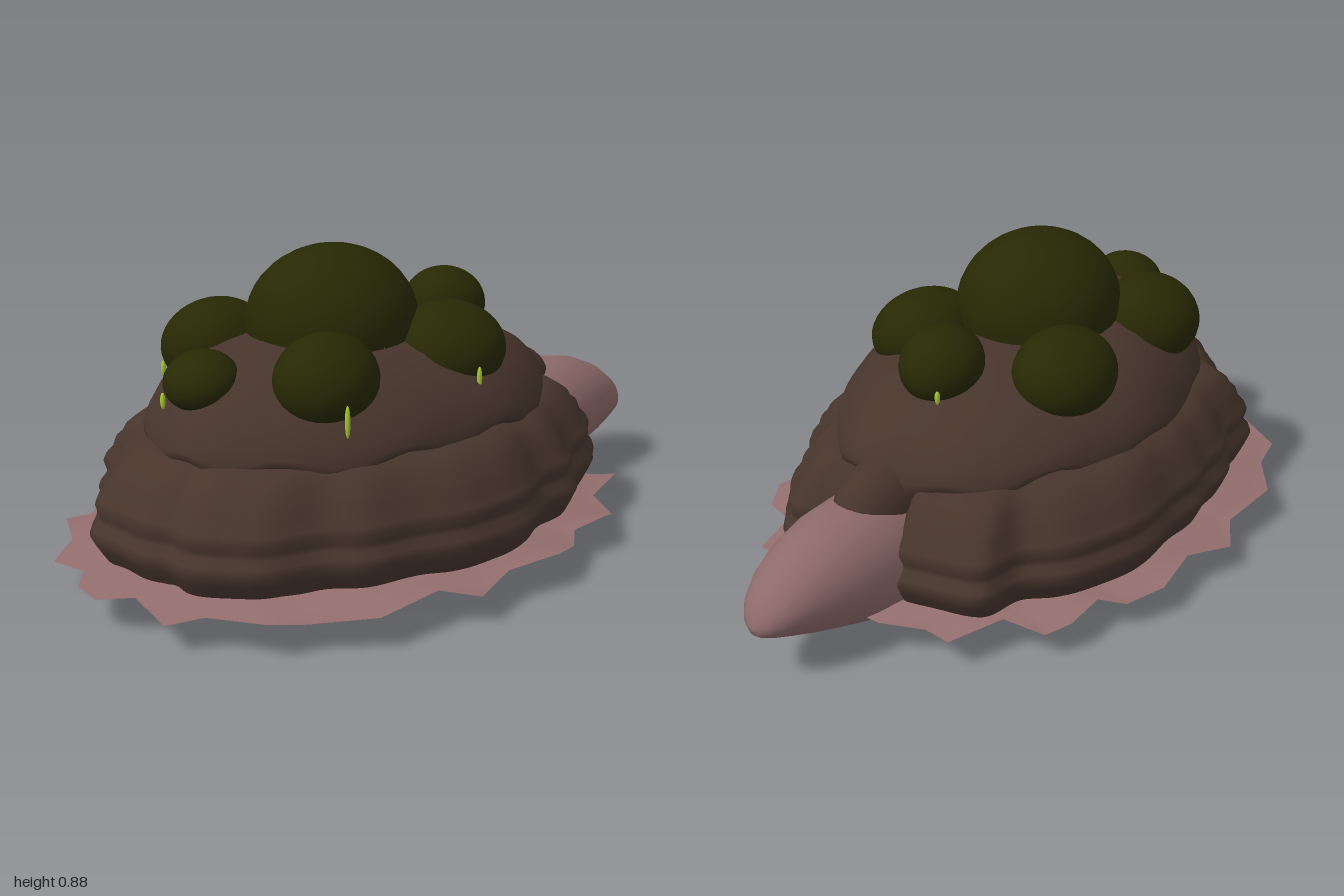
import * as THREE from 'three';

const mat = (name, color, side = THREE.FrontSide) => {
  const m = new THREE.MeshStandardMaterial({ color, side });
  m.name = name;
  return m;
};

const V = (x, y, z) => new THREE.Vector3(x, y, z);

// Joins closed rings of points into one smooth skin; optionally caps the ends
function loft(rings, capStart, capEnd) {
  const n = rings[0].length, pos = [], idx = [];
  rings.forEach(r => r.forEach(p => pos.push(p.x, p.y, p.z)));
  for (let i = 0; i < rings.length - 1; i++) {
    for (let j = 0; j < n; j++) {
      const k = (j + 1) % n, a = i * n + j, b = i * n + k;
      idx.push(a, b, a + n, b, b + n, a + n);
    }
  }
  const cap = (ring, flip) => {
    const c = ring.reduce((s, p) => s.add(p), V(0, 0, 0)).divideScalar(n);
    const base = pos.length / 3;
    [...ring, c].forEach(p => pos.push(p.x, p.y, p.z));
    for (let j = 0; j < n; j++) {
      const k = (j + 1) % n;
      idx.push(base + (flip ? k : j), base + (flip ? j : k), base + n);
    }
  };
  if (capStart) cap(rings[0], true);
  if (capEnd) cap(rings[rings.length - 1], false);
  const g = new THREE.BufferGeometry();
  g.setAttribute('position', new THREE.Float32BufferAttribute(pos, 3));
  g.setIndex(idx);
  g.computeVertexNormals();
  return g;
}

export function createModel() {
  const group = new THREE.Group();
  group.name = 'shelledCreature';
  const shellBrown = mat('shellBrown', 0x47352c, THREE.DoubleSide);
  const skinPink = mat('skinPink', 0x8e6a6a);
  const rimPink = mat('rimPink', 0x946e6e, THREE.DoubleSide);
  const soleMat = mat('solePurple', 0x806468);
  const moss = mat('mossGreen', 0x272804);
  const lime = mat('slimeLime', 0xa8c631);
  const cream = mat('beadCream', 0xd6b988);

  const add = (name, geo, material, p = [0, 0, 0], s = [1, 1, 1], r = [0, 0, 0]) => {
    const m = new THREE.Mesh(geo, material);
    m.name = name;
    m.position.set(...p);
    m.scale.set(...s);
    m.rotation.set(...r);
    group.add(m);
  };
  const sphere = new THREE.SphereGeometry(1, 32, 20);
  const bead = new THREE.SphereGeometry(1, 10, 8);

  // Rippled shell wall, from an irregular plan outline
  const plan = [
    [0, -0.5], [-0.1, -0.57], [-0.17, -0.62], [-0.37, -0.54], [-0.42, -0.4], [-0.53, -0.25],
    [-0.565, 0], [-0.55, 0.2], [-0.53, 0.35], [-0.48, 0.5], [-0.42, 0.68], [-0.3, 0.75],
    [-0.2, 0.85], [-0.05, 0.905], [0.1, 0.87], [0.2, 0.85], [0.34, 0.77], [0.42, 0.6],
    [0.5, 0.45], [0.555, 0.25], [0.59, 0.05], [0.52, -0.15], [0.48, -0.3], [0.38, -0.45],
    [0.32, -0.57], [0.2, -0.63], [0.1, -0.57],
  ];
  const curve = new THREE.CatmullRomCurve3(plan.map(([x, z]) => V(x, 0, z)), true, 'centripetal');
  const outline = curve.getPoints(216).slice(0, -1);
  const ring = (s, y, wave = 0) => outline.map((p, i) => {
    const k = s + wave * Math.sin(i / 216 * Math.PI * 40);
    return V(p.x * k, y, 0.12 + (p.z - 0.12) * k);
  });
  const wall = [
    [0.95, 0.112], [0.965, 0.13], [0.985, 0.155], [1.005, 0.185], [0.995, 0.205],
    [0.97, 0.225], [0.968, 0.24], [0.98, 0.265], [0.968, 0.285], [0.94, 0.305],
    [0.925, 0.335], [0.9, 0.35], [0.885, 0.37], [0.85, 0.39], [0.81, 0.41],
    [0.75, 0.42], [0.6, 0.425],
  ];
  add('shellWall', loft(wall.map(([s, y]) => ring(s, y, 0.012))), shellBrown);

  // Upper dome overlapping the wall, with a wavy lower edge
  const dome = [
    [1.0, 0.39], [1.035, 0.408], [1.035, 0.43], [1.01, 0.47], [0.935, 0.525],
    [0.83, 0.572], [0.67, 0.62], [0.46, 0.65], [0.22, 0.667], [0.01, 0.673],
  ];
  add('shellDome', loft(dome.map(([s, y], i) => Array.from({ length: 96 }, (_, j) => {
    const a = j / 96 * Math.PI * 2;
    const lip = Math.max(0, 1 - i / 4);
    const k = s * (1 + 0.012 * Math.sin(7 * a));
    return V(0.43 * k * Math.sin(a),
      y + lip * (0.02 * Math.sin(11 * a) + 0.01 * Math.sin(5 * a) - 0.012 * Math.cos(2 * a)),
      0.105 + 0.18 * (1 - Math.min(1, s)) + 0.612 * k * Math.cos(a));
  })), false, true), shellBrown);

  // Hood over the neck
  add('neckHood', sphere, shellBrown, [0, 0.335, -0.5], [0.1, 0.125, 0.17]);

  // Jagged rim, one half mirrored to the other
  const half = [
    [0.04, 1], [0.12, 0.93], [0.26, 0.94], [0.31, 0.85], [0.46, 0.775], [0.48, 0.68],
    [0.6, 0.52], [0.595, 0.32], [0.66, 0.225], [0.61, 0.08], [0.64, -0.08], [0.595, -0.19],
    [0.54, -0.25], [0.545, -0.37], [0.51, -0.44], [0.4, -0.48], [0.345, -0.64], [0.25, -0.62],
    [0.155, -0.7],
  ];
  const rimPts = [...half, ...half.map(([x, z]) => [-x, z]).reverse()];
  const rimRing = (s, y, dy) => rimPts.map(([x, z], i) =>
    V(x * s, y + dy * Math.sin(i * 2.1), 0.12 + (z - 0.12) * s));
  add('jaggedRim', loft([
    rimRing(1, 0.096, 0.014), rimRing(0.93, 0.1, 0.015), rimRing(0.86, 0.113, 0.005),
    rimRing(0.74, 0.12, 0),
  ]), rimPink);

  // Sole with its dark seam
  add('soleSeam', loft([ring(0.9, 0.101), ring(0.9, 0.106)], true, true), shellBrown);
  add('sole', loft([ring(0.885, 0.098), ring(0.885, 0.103)], true, false), soleMat);

  // Beads around the sole and radial pads beneath it
  for (let i = 0; i < 16; i++) {
    const a = (i + 0.5) / 16 * Math.PI * 2;
    add('bead', bead, cream, [0.505 * Math.sin(a), 0.094, 0.13 + 0.7 * Math.cos(a)],
      [0.0135, 0.0135, 0.0135]);
  }
  for (let i = 0; i < 8; i++) {
    const a = (i + 0.5) / 8 * Math.PI * 2;
    add('solePad', sphere, shellBrown, [0.37 * Math.sin(a), 0.105, 0.12 + 0.52 * Math.cos(a)],
      [0.045, 0.024, 0.105], [0, a, 0]);
  }

  // Ragged mouth patch and small foot at the centre
  const patch = Array.from({ length: 28 }, (_, j) => {
    const a = j / 28 * Math.PI * 2, k = 1 + 0.14 * Math.sin(7 * a) + 0.1 * Math.sin(3 * a);
    return V(0.03 + 0.15 * k * Math.sin(a), 0.094, 0.01 + 0.2 * k * Math.cos(a));
  });
  add('mouthPatch', loft([patch, patch.map(p => V(p.x, 0.1, p.z))], true, false), shellBrown);
  add('centreFoot', new THREE.BoxGeometry(0.05, 0.035, 0.06), skinPink, [0, 0.096, 0.12]);

  // Head: slanted sections [topZ, topY, bottomZ, bottomY, halfWidth]
  const sections = [
    [-0.3, 0.3, -0.57, 0, 0.157], [-0.45, 0.365, -0.62, 0.018, 0.163],
    [-0.58, 0.384, -0.69, 0.042, 0.16], [-0.7, 0.382, -0.77, 0.07, 0.146],
    [-0.8, 0.362, -0.85, 0.098, 0.126], [-0.89, 0.322, -0.915, 0.124, 0.1],
    [-0.95, 0.276, -0.96, 0.142, 0.073], [-0.985, 0.232, -0.985, 0.154, 0.044],
    [-0.997, 0.203, -0.996, 0.164, 0.02], [-1, 0.185, -1, 0.178, 0.004],
  ];
  add('head', loft(sections.map(([tz, ty, bz, by, w]) => Array.from({ length: 32 }, (_, j) => {
    const t = j / 32 * Math.PI * 2, c = Math.cos(t);
    return V(w * Math.sin(t), (ty + by) / 2 + (ty - by) / 2 * c, (tz + bz) / 2 + (tz - bz) / 2 * c);
  })), true, true), skinPink);

  // Moss mounds: centre, radii, tilt
  [
    [[0, 0.672, 0.175], [0.228, 0.212, 0.248], [0, 0, 0]],
    [[0, 0.645, -0.25], [0.113, 0.105, 0.125], [-0.15, 0, 0]],
    [[0, 0.593, 0.62], [0.104, 0.077, 0.1], [0.25, 0, 0]],
    [[-0.252, 0.61, -0.03], [0.137, 0.12, 0.163], [0, 0, 0.3]],
    [[0.228, 0.606, -0.06], [0.147, 0.115, 0.163], [0, 0, -0.32]],
    [[-0.226, 0.606, 0.41], [0.143, 0.122, 0.155], [0.08, 0, 0.3]],
    [[0.242, 0.606, 0.395], [0.132, 0.12, 0.147], [0.08, 0, -0.32]],
  ].forEach(([p, s, r]) => add('mossMound', sphere, moss, p, s, r));

  // Slime drips below the mounds: x, y, z, half length
  [
    [-0.285, 0.54, 0.545, 0.022], [-0.055, 0.54, 0.705, 0.023], [0.368, 0.53, 0.43, 0.045],
    [0.375, 0.55, -0.03, 0.033], [0.108, 0.625, -0.25, 0.018], [-0.065, 0.6, -0.345, 0.022],
    [0.218, 0.645, 0.18, 0.02],
  ].forEach(([x, y, z, h]) => add('slimeDrip', bead, lime, [x, y, z], [0.0075, h, 0.0075]));

  return group;
}
